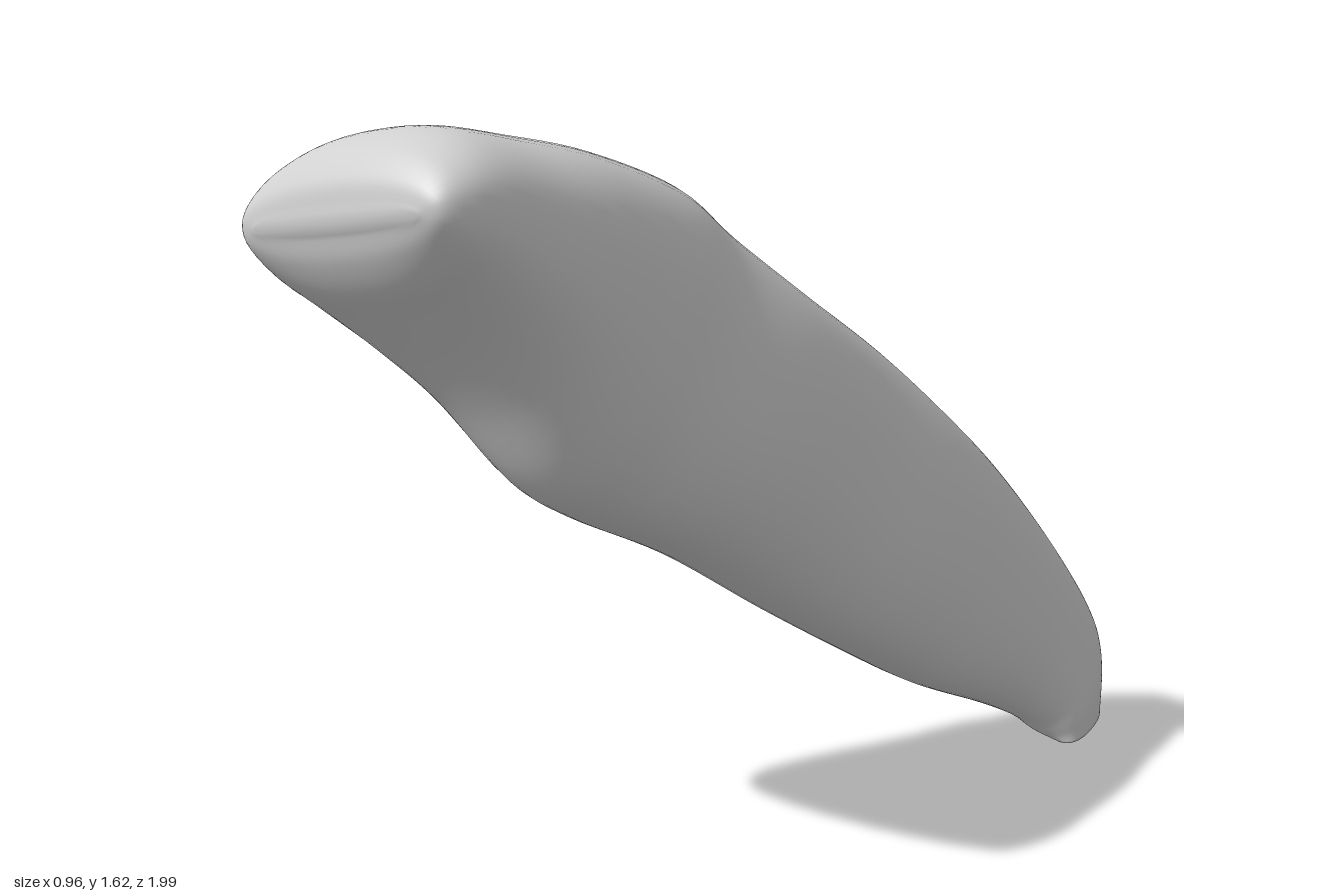
import * as THREE from 'three';

// Cross-sections from the biting edge to the root tip:
// [upper z, upper y, lower z, lower y, min x, max x, widening towards the upper side]
const SECTIONS = [
  [0.995, 1.455, 0.99, 1.41, -0.38, 0.13, 0],
  [0.975, 1.52, 0.975, 1.35, -0.445, 0.185, 0],
  [0.91, 1.58, 0.935, 1.28, -0.475, 0.21, 0],
  [0.80, 1.605, 0.87, 1.215, -0.475, 0.22, 0],
  [0.62, 1.575, 0.78, 1.12, -0.435, 0.225, 0],
  [0.40, 1.525, 0.70, 1.01, -0.37, 0.23, 0.02],
  [0.15, 1.43, 0.60, 0.84, -0.29, 0.235, 0.05],
  [0.00, 1.31, 0.48, 0.75, -0.24, 0.245, 0.05],
  [-0.17, 1.17, 0.25, 0.63, -0.16, 0.29, 0.02],
  [-0.40, 1.00, 0.00, 0.46, -0.075, 0.32, 0],
  [-0.58, 0.83, -0.20, 0.33, 0, 0.365, 0],
  [-0.73, 0.67, -0.40, 0.21, 0.075, 0.395, 0],
  [-0.87, 0.48, -0.60, 0.12, 0.16, 0.425, -0.05],
  [-0.97, 0.31, -0.69, 0.07, 0.235, 0.45, -0.12],
  [-0.99, 0.20, -0.73, 0.03, 0.29, 0.465, -0.2],
  [-0.93, 0.05, -0.75, 0.01, 0.385, 0.475, -0.1],
];
const ROLL = 0.17; // sideways lean of every section
const RINGS = 90, SIDES = 56;

// Smooth curves through the upper points, lower points and widths
const curve = (pick) => new THREE.CatmullRomCurve3(SECTIONS.map(pick), false, 'catmullrom', 0.5);
const upper = curve((s) => new THREE.Vector3(0, s[1], s[0]));
const lower = curve((s) => new THREE.Vector3(0, s[3], s[2]));
const widths = curve((s) => new THREE.Vector3(s[4], s[5], s[6]));

const soften = (v, p) => Math.sign(v) * Math.abs(v) ** p;

function toothGeometry() {
  const pos = [], index = [];
  for (let i = 0; i <= RINGS; i++) {
    const u = upper.getPoint(i / RINGS), l = lower.getPoint(i / RINGS), w = widths.getPoint(i / RINGS);
    const mid = u.clone().add(l).multiplyScalar(0.5);
    const half = u.clone().sub(l).multiplyScalar(0.5);
    const xc = (w.x + w.y) / 2, xh = (w.y - w.x) / 2;
    const depth = half.length();
    for (let j = 0; j < SIDES; j++) {
      const a = (j / SIDES) * Math.PI * 2;
      const t = soften(Math.sin(a), 0.86);
      const dx = soften(Math.cos(a), 0.86) * xh * (1 + w.z * t);
      pos.push(
        xc + dx - ROLL * t * depth,
        Math.max(0, mid.y + half.y * t + ROLL * dx * Math.min(1, mid.y * 2)),
        mid.z + half.z * t
      );
    }
  }
  for (let i = 0; i < RINGS; i++) {
    for (let j = 0; j < SIDES; j++) {
      const k = (j + 1) % SIDES;
      const a = i * SIDES + j, b = i * SIDES + k, c = a + SIDES, d = b + SIDES;
      index.push(a, c, b, b, c, d);
    }
  }
  // Close both ends with a pole
  const front = pos.length / 3, end = front + 1, last = RINGS * SIDES;
  pos.push(-0.12, 1.43, 1.0, 0.44, 0, -0.84);
  for (let j = 0; j < SIDES; j++) {
    const k = (j + 1) % SIDES;
    index.push(front, j, k, end, last + k, last + j);
  }
  const geo = new THREE.BufferGeometry();
  geo.setAttribute('position', new THREE.Float32BufferAttribute(pos, 3));
  geo.setIndex(index);
  geo.computeVertexNormals();
  return geo;
}

export function createModel() {
  const group = new THREE.Group();
  group.name = 'incisorTooth';
  const material = new THREE.MeshStandardMaterial({ color: 0xd0d0d0 });
  material.name = 'light grey';
  const tooth = new THREE.Mesh(toothGeometry(), material);
  tooth.name = 'crownAndRoot';
  group.add(tooth);
  return group;
}
